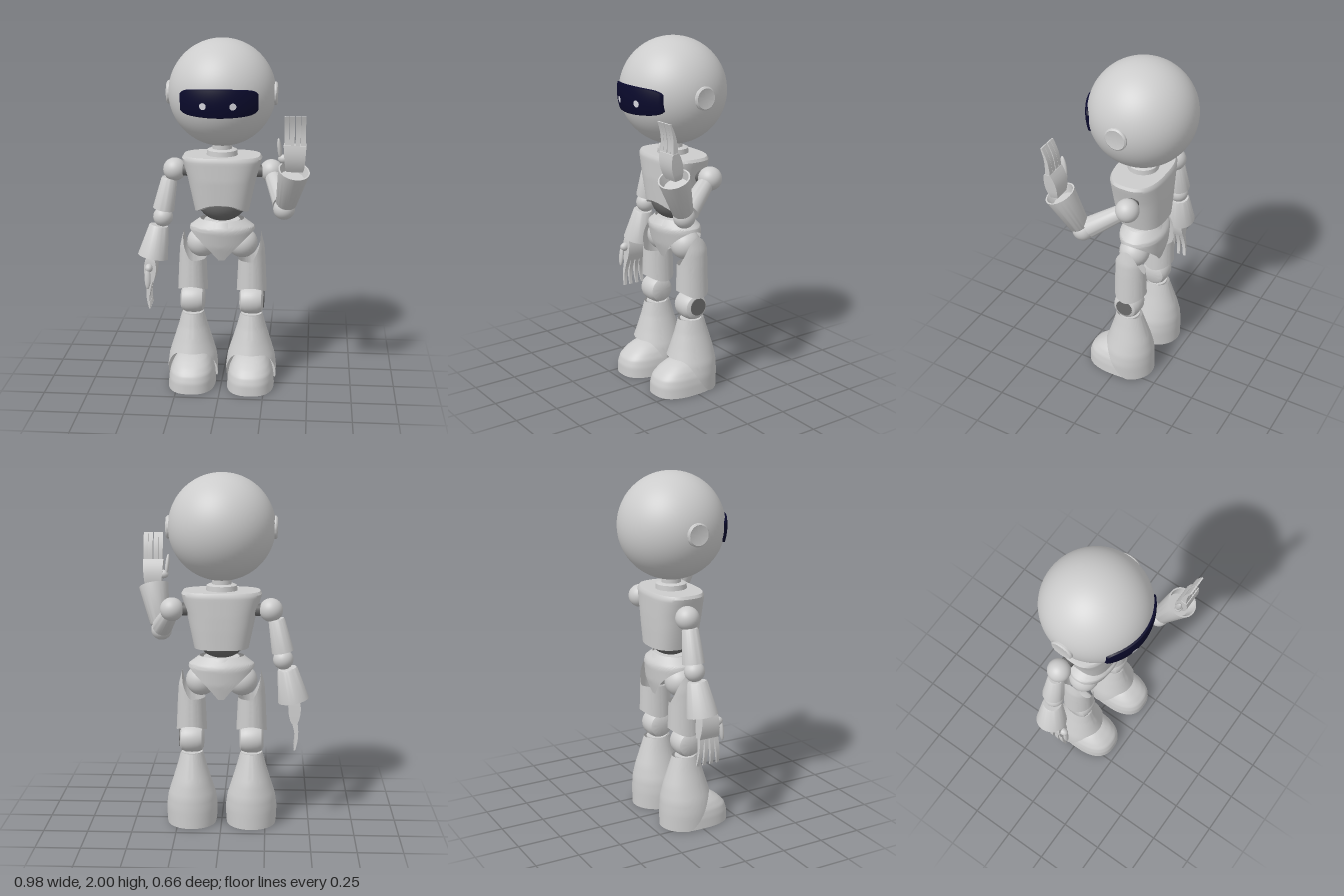
import * as THREE from 'three';
import { toCreasedNormals } from 'three/addons/utils/BufferGeometryUtils.js';

const V = (x, y, z) => new THREE.Vector3(x, y, z);
const clamp = THREE.MathUtils.clamp;
const shell = new THREE.MeshStandardMaterial({ name: 'shell grey', color: 0xcccccc, side: THREE.DoubleSide });
const dark = new THREE.MeshStandardMaterial({ name: 'joint grey', color: 0x6a6a6a });
const navy = new THREE.MeshStandardMaterial({ name: 'visor navy', color: 0x0a0a2c });
const glow = new THREE.MeshStandardMaterial({ name: 'eye white', color: 0xdcdce4 });

export function createModel() {
  const root = new THREE.Group();
  root.name = 'robot';

  function add(name, geo, mat = shell, pos = V(0, 0, 0), parent = root) {
    const m = new THREE.Mesh(geo, mat);
    m.name = name;
    m.position.copy(pos);
    parent.add(m);
    return m;
  }
  const ball = (name, pos, r, mat = shell) => add(name, new THREE.SphereGeometry(r, 32, 20), mat, pos);

  // Upright shell: profile rows are [y, halfWidth, zFront, zBack], rims vary with the angle
  function shellGeo(profile, bottom, top, { power = 2, caps = false, cols = 64, rows = 20 } = {}) {
    const sample = (y) => {
      let i = 0;
      while (i < profile.length - 2 && y > profile[i + 1][0]) i++;
      const [a, b] = [profile[i], profile[i + 1]];
      const t = clamp((y - a[0]) / (b[0] - a[0]), 0, 1);
      return a.map((v, k) => v + (b[k] - v) * t);
    };
    const p = [], idx = [];
    const bend = (v) => Math.sign(v) * Math.abs(v) ** (2 / power);
    for (let i = 0; i <= rows; i++) for (let j = 0; j < cols; j++) {
      const a = (j / cols) * Math.PI * 2, c = Math.cos(a), s = Math.sin(a);
      const y = THREE.MathUtils.lerp(bottom(c, s), top(c, s), i / rows);
      const [, rx, zf, zb] = sample(y);
      p.push(rx * bend(c), y, (zf + zb) / 2 + ((zf - zb) / 2) * bend(s));
    }
    const at = (i, j) => i * cols + (j % cols);
    for (let i = 0; i < rows; i++) for (let j = 0; j < cols; j++) {
      idx.push(at(i, j), at(i + 1, j), at(i, j + 1), at(i, j + 1), at(i + 1, j), at(i + 1, j + 1));
    }
    if (caps) for (const i of [0, rows]) {
      const y = i ? top(0, 0) : bottom(0, 0), [, , zf, zb] = sample(y), centre = p.length / 3;
      p.push(0, y, (zf + zb) / 2);
      for (let j = 0; j < cols; j++) idx.push(centre, at(i, i ? j + 1 : j), at(i, i ? j : j + 1));
    }
    const g = new THREE.BufferGeometry();
    g.setAttribute('position', new THREE.Float32BufferAttribute(p, 3));
    g.setIndex(idx);
    return toCreasedNormals(g, 0.7);
  }
  const flat = (y) => () => y;
  const lathe = (pts) => toCreasedNormals(new THREE.LatheGeometry(pts.map(([r, y]) => new THREE.Vector2(r, y)), 40), 0.6);

  // Tapered limb between two points; a cuff has a hollow end
  function limb(name, a, b, ra, rb, cuff = false) {
    const L = a.distanceTo(b), pts = [[0, 0], [ra * 0.9, 0], [ra, 0.008], [rb, L]];
    pts.push(...(cuff ? [[rb * 0.9, L], [rb * 0.75, L - 0.05], [0, L - 0.05]] : [[0, L]]));
    add(name, lathe(pts), shell, a).quaternion.setFromUnitVectors(V(0, 1, 0), b.clone().sub(a).normalize());
  }

  // Head, ears, visor and eyes
  const HEAD = V(0, 1.703, -0.037);
  add('head', new THREE.SphereGeometry(0.297, 64, 40), shell, HEAD);
  for (const s of [-1, 1]) {
    const ear = add('ear', lathe([[0, 0], [0.064, 0], [0.064, 0.03], [0.056, 0.037], [0.046, 0.035], [0, 0.035]]), shell, V(s * 0.27, 1.7, -0.037));
    ear.rotation.z = -s * Math.PI / 2;
  }
  const visor = new THREE.PlaneGeometry(2, 2, 40, 40), vp = visor.attributes.position;
  for (let i = 0; i < vp.count; i++) {
    const u0 = vp.getX(i), v0 = vp.getY(i);
    const rim = Math.max(Math.abs(u0), Math.abs(v0)) > 0.99;
    const u = clamp(u0 * 1.05, -1, 1), v = clamp(v0 * 1.05, -1, 1);
    const x = 0.21 * u, y = -0.02 + 0.078 * v * (1 - 0.18 * u * u - 0.25 * u ** 12);
    vp.setXYZ(i, x, y, Math.sqrt((rim ? 0.294 : 0.307) ** 2 - x * x - y * y));
  }
  visor.computeVertexNormals();
  add('visor', visor, navy, HEAD);
  for (const s of [-1, 1]) {
    const d = V(s * 0.08, -0.033, 0.294).normalize();
    const eye = add('eye', new THREE.CircleGeometry(0.019, 24), glow, HEAD.clone().addScaledVector(d, 0.309));
    eye.quaternion.setFromUnitVectors(V(0, 0, 1), d);
  }

  // Neck and collar
  add('neck', new THREE.CylinderGeometry(0.055, 0.055, 0.1, 32), shell, V(0, 1.4, -0.037));
  add('collar', lathe([[0, 0], [0.088, 0], [0.085, 0.035], [0.07, 0.042], [0, 0.042]]), shell, V(0, 1.345, -0.037));

  // Torso, belly and pelvis
  add('torso', shellGeo(
    [[1.03, 0.152, 0.088, -0.183], [1.14, 0.175, 0.098, -0.188], [1.22, 0.192, 0.105, -0.19],
      [1.335, 0.225, 0.107, -0.19], [1.352, 0.215, 0.098, -0.18]],
    (c, s) => 1.035 + 0.05 * Math.max(0, s) ** 3, flat(1.352), { power: 2.7, caps: true }));
  ball('belly', V(0, 1.08, -0.043), 0.11, dark).scale.set(1.24, 1, 1.14);
  add('pelvis', shellGeo(
    [[0.75, 0.17, 0.03, -0.15], [0.83, 0.18, 0.06, -0.17], [0.92, 0.187, 0.08, -0.178],
      [0.94, 0.183, 0.078, -0.172], [0.983, 0.125, 0.05, -0.135]],
    (c) => 0.75 + 0.175 * clamp((Math.abs(c) - 0.12) / 0.88, 0, 1) ** 0.85, flat(0.983)));
  add('waistPlate', new THREE.CylinderGeometry(0.1, 0.12, 0.03, 32), shell, V(0, 0.963, -0.043));

  // Legs
  for (const s of [-1, 1]) {
    const leg = new THREE.Group();
    leg.name = s > 0 ? 'leftLeg' : 'rightLeg';
    leg.position.x = s * 0.17;
    root.add(leg);
    add('hipJoint', new THREE.SphereGeometry(0.087, 32, 20), shell, V(-s * 0.055, 0.84, -0.045), leg);
    add('thigh', shellGeo(
      [[0.55, 0.087, 0.045, -0.145], [0.74, 0.078, 0.04, -0.14], [0.82, 0.072, 0.04, -0.14], [0.91, 0.05, 0.035, -0.135]],
      (c, z) => 0.555 + 0.035 * z * z,
      (c) => 0.745 + 0.16 * Math.max(0, c * s) ** 1.4), shell, undefined, leg);
    const knee = lathe([[0, -0.068], [0.05, -0.068], [0.068, -0.058], [0.078, -0.035], [0.08, 0],
      [0.078, 0.035], [0.068, 0.058], [0.05, 0.068], [0, 0.068]]);
    add('knee', knee.rotateZ(-Math.PI / 2), shell, V(0, 0.495, -0.04), leg);
    if (s > 0) add('kneeDisc', new THREE.CylinderGeometry(0.05, 0.05, 0.006, 32).rotateZ(Math.PI / 2), dark, V(0.069, 0.5, -0.043), leg);

    // Flared shin, cut away above the foot
    add('shin', shellGeo(
      [[0, 0.143, 0.13, -0.193], [0.1, 0.146, 0.125, -0.193], [0.17, 0.137, 0.108, -0.189],
        [0.25, 0.112, 0.082, -0.173], [0.34, 0.084, 0.055, -0.145], [0.42, 0.063, 0.036, -0.12]],
      (c, z) => 0.2 * THREE.MathUtils.smoothstep(z, -0.4, 0.9), flat(0.42)), shell, undefined, leg);
    add('shinTop', new THREE.CylinderGeometry(0.06, 0.06, 0.01, 32), shell, V(0, 0.413, -0.042), leg);
    add('foot', shellGeo(
      [[0, 0.136, 0.21, -0.188], [0.06, 0.132, 0.208, -0.185], [0.1, 0.124, 0.195, -0.17],
        [0.135, 0.108, 0.16, -0.15], [0.165, 0.085, 0.115, -0.13], [0.185, 0.05, 0.07, -0.1]],
      flat(0), flat(0.185), { power: 2.5, caps: true }), shell, undefined, leg);
  }

  // Hand: fingers along +y, palm facing +z, thumb on the given side
  function hand(name, thumbSide, spread) {
    const g = new THREE.Group();
    g.name = name;
    const palm = new THREE.BoxGeometry(0.12, 0.15, 0.07, 6, 8, 6), pp = palm.attributes.position;
    for (let i = 0; i < pp.count; i++) {
      const t = clamp(pp.getY(i) / 0.15 + 0.5, 0, 1);
      pp.setX(i, pp.getX(i) * (0.72 + 0.28 * Math.sqrt(t)));
      pp.setZ(i, pp.getZ(i) * Math.sin(Math.PI * (0.2 + 0.62 * t)));
    }
    palm.computeVertexNormals();
    add('palm', palm, shell, V(0, 0.07, 0), g);
    for (let f = 0; f < 4; f++) {
      const k = f - 1.5, geo = new THREE.BoxGeometry(0.026, 0.165, 0.032, 1, 6, 1), q = geo.attributes.position;
      for (let i = 0; i < q.count; i++) {
        const t = clamp(q.getY(i) / 0.165 + 0.5, 0, 1);
        q.setXYZ(i, q.getX(i) * (1 - spread * 4 * t), t * 0.165, q.getZ(i) * (1 - 0.75 * t) - 0.012 * Math.sin(t * 3));
      }
      geo.computeVertexNormals();
      add('finger', geo, shell, V(k * 0.0275 + Math.sign(k) * 0.002, 0.138, 0), g).rotation.z = -k * spread;
    }
    const thumb = new THREE.SphereGeometry(0.5, 16, 12).scale(0.024, 0.125, 0.035);
    add('thumb', thumb, shell, V(thumbSide * 0.082, 0.115, -0.01), g).rotation.z = -thumbSide * 0.1;
    add('thumbBase', new THREE.SphereGeometry(0.5, 16, 12).scale(0.06, 0.05, 0.045), shell, V(thumbSide * 0.06, 0.06, -0.005), g);
    root.add(g);
    return g;
  }

  // Arms: the left one is raised to wave, the right one hangs
  for (const s of [-1, 1]) {
    ball('shoulder', V(s * 0.275, 1.25, -0.09), 0.066);
    add('shoulderSocket', new THREE.CylinderGeometry(0.035, 0.035, 0.1, 24).rotateZ(Math.PI / 2), dark, V(s * 0.2, 1.25, -0.08));
  }
  limb('leftUpperArm', V(0.285, 1.225, -0.05), V(0.347, 1.115, 0.105), 0.046, 0.058);
  ball('leftElbow', V(0.355, 1.09, 0.14), 0.06);
  limb('leftForearm', V(0.365, 1.12, 0.155), V(0.408, 1.33, 0.245), 0.057, 0.086, true);
  const leftHand = hand('leftHand', -1, 0);
  leftHand.position.set(0.412, 1.335, 0.25);
  leftHand.rotation.x = 0.2;

  limb('rightUpperArm', V(-0.305, 1.2, -0.09), V(-0.342, 1.015, -0.09), 0.046, 0.062);
  ball('rightElbow', V(-0.345, 0.97, -0.085), 0.057);
  limb('rightForearm', V(-0.368, 0.92, -0.082), V(-0.405, 0.735, -0.07), 0.057, 0.088, true);
  const rightHand = hand('rightHand', 1, 0.08);
  rightHand.quaternion.setFromRotationMatrix(new THREE.Matrix4().makeBasis(V(0, 0, 1), V(0, -1, 0), V(1, 0, 0)));
  rightHand.position.set(-0.412, 0.75, -0.04);

  return root;
}
